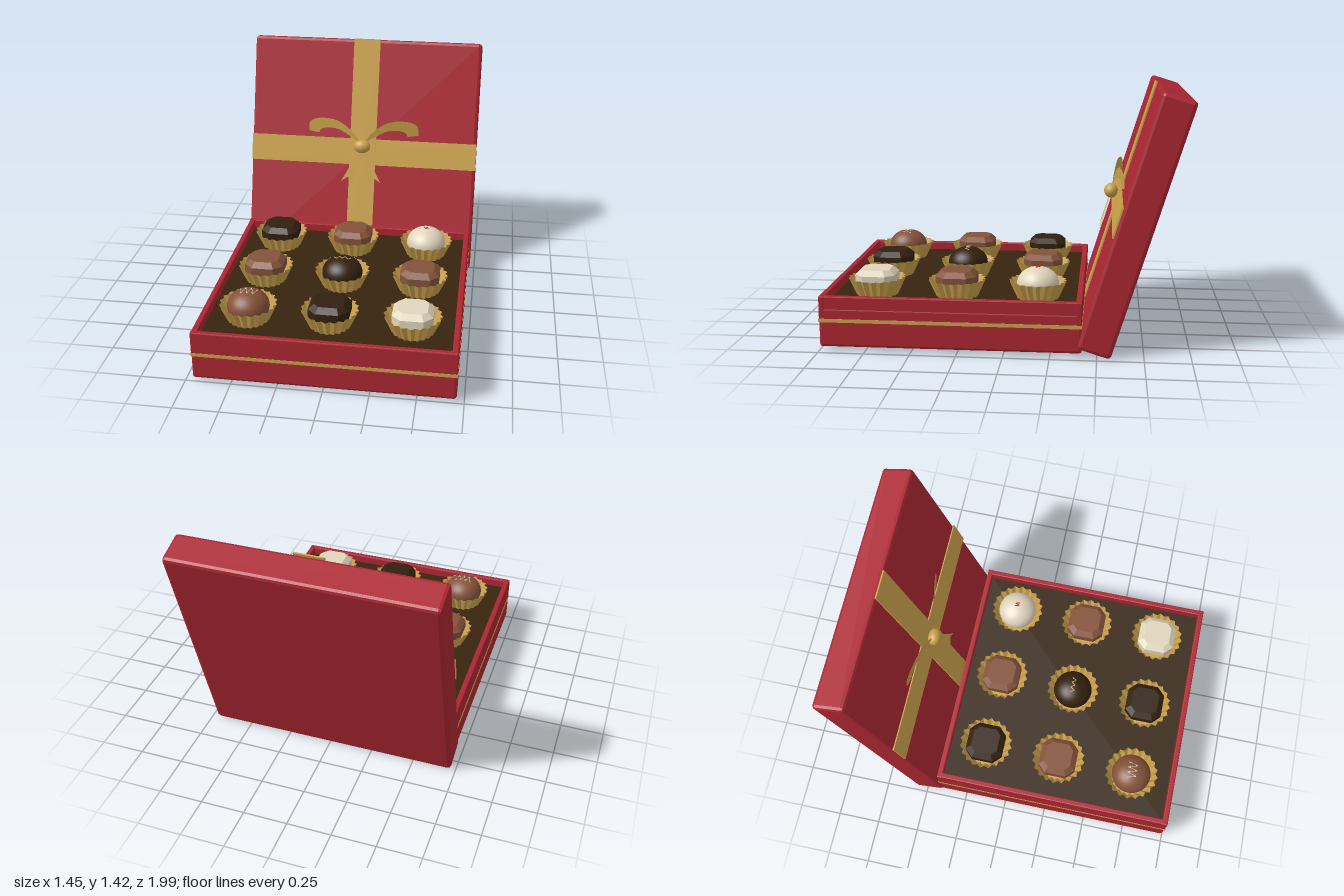
import * as THREE from 'three';
import { RoundedBoxGeometry } from 'three/addons/geometries/RoundedBoxGeometry.js';

const mat = (name, color, side = THREE.FrontSide) => {
  const m = new THREE.MeshStandardMaterial({ color, side });
  m.name = name;
  return m;
};

export function createModel() {
  const red = mat('box red', 0xab2632);
  const gold = mat('ribbon gold', 0xcba24c, THREE.DoubleSide);
  const liner = mat('liner brown', 0x38240f);
  const dark = mat('dark chocolate', 0x32200f);
  const milk = mat('milk chocolate', 0x84523a);
  const white = mat('white chocolate', 0xe0d5bd);
  const cherry = mat('cherry red', 0xc4202c);

  const model = new THREE.Group();
  const add = (parent, name, geo, material, x = 0, y = 0, z = 0) => {
    const m = new THREE.Mesh(geo, material);
    m.name = name;
    m.position.set(x, y, z);
    parent.add(m);
    return m;
  };
  const group = (name, parent = model) => {
    const g = new THREE.Group();
    g.name = name;
    parent.add(g);
    return g;
  };
  const flat = (geo) => {
    const g = geo.index ? geo.toNonIndexed() : geo;
    g.computeVertexNormals();
    return g;
  };
  // box with one-step chamfered edges
  const chamferBox = (w, h, d, r) => flat(new RoundedBoxGeometry(w, h, d, 1, r));

  // Base tray: solid body, raised walls, liner and gold stripe
  const base = group('base');
  const cz = 0.29;
  add(base, 'trayBody', chamferBox(1.42, 0.22, 1.42, 0.015), red, 0, 0.14, cz);
  for (const s of [-1, 1]) {
    add(base, 'sideWall', chamferBox(0.032, 0.15, 1.38, 0.006), red, s * 0.692, 0.237, cz);
    add(base, 'endWall', chamferBox(1.42, 0.15, 0.032, 0.006), red, 0, 0.237, cz + s * 0.694);
  }
  add(base, 'liner', new THREE.BoxGeometry(1.36, 0.03, 1.36), liner, 0, 0.247, cz);
  add(base, 'stripe', new THREE.BoxGeometry(1.423, 0.02, 1.423), gold, 0, 0.178, cz);

  // Lid leaning back, with crossed ribbons on its front face
  const lid = group('lid');
  lid.position.set(0, 0.715, -0.692);
  lid.rotation.x = -0.3;
  add(lid, 'lidPanel', chamferBox(1.445, 1.43, 0.19, 0.02), red);
  add(lid, 'verticalRibbon', new THREE.BoxGeometry(0.167, 1.435, 0.009), gold, 0, 0, 0.0985);
  add(lid, 'horizontalRibbon', new THREE.BoxGeometry(1.445, 0.167, 0.009), gold, 0, 0, 0.0975);

  // Bow: knot, two loops and two notched tails
  const bow = group('bow');
  const knot = add(bow, 'knot', new THREE.SphereGeometry(1, 24, 16), gold, 0, 0.795, -0.563);
  knot.scale.set(0.053, 0.043, 0.04);
  const v2 = (pts) => pts.map(([x, y]) => new THREE.Vector2(x, y));
  const bentShape = (shape, zRule) => {
    const geo = new THREE.ShapeGeometry(shape, 6);
    const p = geo.attributes.position;
    for (let i = 0; i < p.count; i++) p.setZ(i, zRule(p.getX(i), p.getY(i)));
    geo.computeVertexNormals();
    return geo;
  };
  const loop = new THREE.Shape();
  loop.moveTo(0.01, 0.815);
  loop.splineThru(v2([[0.06, 0.88], [0.13, 0.935], [0.2, 0.957], [0.29, 0.952], [0.345, 0.92], [0.353, 0.86]]));
  loop.lineTo(0.285, 0.853);
  loop.splineThru(v2([[0.27, 0.88], [0.22, 0.895], [0.15, 0.89], [0.08, 0.855], [0.01, 0.815]].slice(0, -1)));
  const tail = new THREE.Shape();
  tail.moveTo(0.005, 0.78);
  tail.lineTo(0.05, 0.77);
  tail.splineThru(v2([[0.06, 0.71], [0.09, 0.64], [0.128, 0.575]]));
  tail.lineTo(0.085, 0.602);
  tail.lineTo(0.05, 0.57);
  tail.splineThru(v2([[0.035, 0.62], [0.01, 0.68]]));
  const loopGeo = bentShape(loop, (x) => -0.567 - 0.19 * x);
  const tailGeo = bentShape(tail, (x, y) => -0.56 + (0.78 - y) * 0.3);
  for (const s of [-1, 1]) {
    add(bow, 'bowLoop', loopGeo, gold).scale.x = s;
    add(bow, 'bowTail', tailGeo, gold).scale.x = s;
  }

  // Pleated paper cup: every other column is pulled inward
  const cupProfile = v2([[0.001, 0.266], [0.115, 0.266], [0.16, 0.365]]);
  const cup = new THREE.LatheGeometry(cupProfile, 40);
  const cp = cup.attributes.position;
  for (let i = 0; i < cp.count; i++) {
    const k = Math.floor(i / cupProfile.length) % 2 ? 0.9 : 1;
    cp.setXYZ(i, cp.getX(i) * k, cp.getY(i), cp.getZ(i) * k);
  }
  const cupGeo = flat(cup);

  // Chocolates: a cut-corner square and a dome
  const h = 0.08, c = 0.05;
  const octagon = new THREE.Shape(v2([[h, -c], [h, c], [c, h], [-c, h], [-h, c], [-h, -c], [-c, -h], [c, -h]]));
  const squareGeo = new THREE.ExtrudeGeometry(octagon, {
    depth: 0.05, bevelEnabled: true, bevelSegments: 1, bevelSize: 0.031, bevelThickness: 0.028,
  });
  squareGeo.rotateX(-Math.PI / 2);
  const domeGeo = new THREE.SphereGeometry(0.117, 32, 20);
  domeGeo.scale(1, 0.8, 1);

  // Zigzag icing lying on a dome
  const icing = (halfW, halfD, turns) => {
    const path = new THREE.CurvePath();
    const pts = [];
    for (let i = 0; i <= turns; i++) {
      const x = -halfW + (2 * halfW * i) / turns;
      const z = i % 2 ? halfD : -halfD;
      pts.push(new THREE.Vector3(x, 0.8 * Math.sqrt(0.117 ** 2 - x * x - z * z), z));
    }
    for (let i = 0; i < turns; i++) path.add(new THREE.LineCurve3(pts[i], pts[i + 1]));
    return new THREE.TubeGeometry(path, turns * 6, 0.0035, 5);
  };

  const rows = [
    [['square', dark], ['square', milk], ['dome', white, cherry, 0.012, 0.012, 3]],
    [['square', milk], ['dome', dark, gold, 0.048, 0.012, 6], ['square', milk]],
    [['dome', milk, white, 0.048, 0.028, 6], ['square', dark], ['square', white]],
  ];
  rows.forEach((row, r) => row.forEach(([kind, material, topping, w, d, n], i) => {
    const piece = group('chocolate', base);
    piece.position.set((i - 1) * 0.452, 0, -0.17 + r * 0.45);
    add(piece, 'paperCup', cupGeo, gold);
    if (kind === 'square') add(piece, 'squareChocolate', squareGeo, material, 0, 0.337, 0);
    else {
      add(piece, 'domeChocolate', domeGeo, material, 0, 0.346, 0);
      add(piece, 'icing', icing(w, d, n), topping, 0, 0.346, 0);
    }
  }));

  return model;
}
